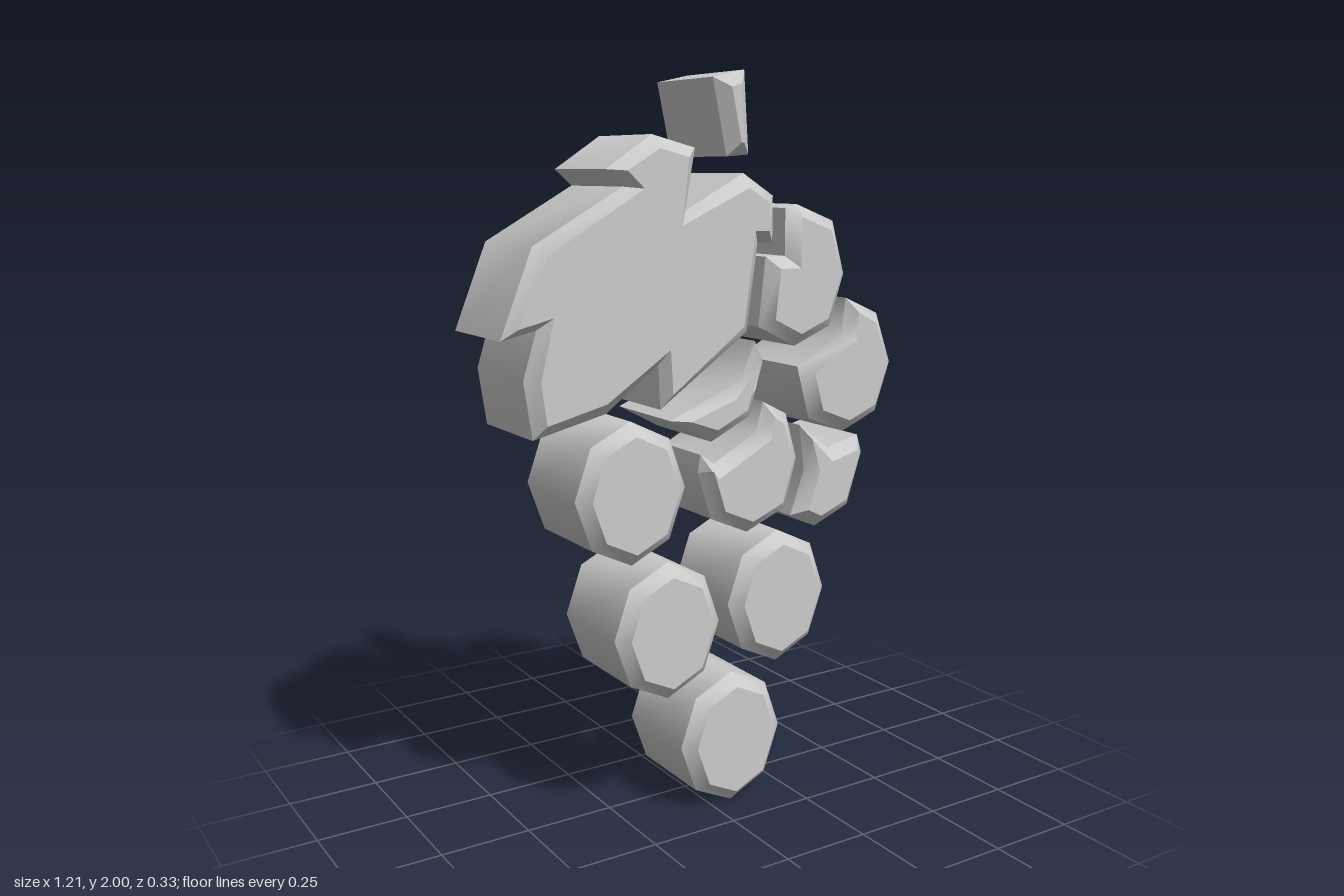
import * as THREE from 'three';
import { toCreasedNormals, mergeGeometries } from 'three/addons/utils/BufferGeometryUtils.js';

const BEVEL = 0.032;
const WALL = 0.27; // straight depth between the front and back bevels
const material = new THREE.MeshStandardMaterial({ color: 0xcccccc });

// Smooth caps, bevels and walls separately, so the edges between them stay sharp
function smoothByBand(geometry) {
  const source = geometry.getAttribute('position');
  const bands = [[], [], []];
  const tri = new THREE.Triangle();
  const normal = new THREE.Vector3();
  for (let i = 0; i < source.count; i += 3) {
    tri.setFromAttributeAndIndices(source, i, i + 1, i + 2);
    tri.getNormal(normal);
    const slope = Math.abs(normal.z);
    const band = slope > 0.95 ? 0 : slope > 0.1 ? 1 : 2;
    for (const v of [tri.a, tri.b, tri.c]) bands[band].push(v.x, v.y, v.z);
  }
  return mergeGeometries(bands.filter((b) => b.length).map((b) => {
    const part = new THREE.BufferGeometry();
    part.setAttribute('position', new THREE.Float32BufferAttribute(b, 3));
    return toCreasedNormals(part, 0.95);
  }));
}

// Bevelled slab whose widest outline passes through the given points
function slab(name, points) {
  const shape = new THREE.Shape(points.map(([x, y]) => new THREE.Vector2(x, y)));
  const geometry = new THREE.ExtrudeGeometry(shape, {
    depth: WALL, bevelEnabled: true, bevelSegments: 1,
    bevelThickness: BEVEL, bevelSize: BEVEL, bevelOffset: -BEVEL,
  });
  geometry.translate(0, 0, -WALL / 2);
  const mesh = new THREE.Mesh(smoothByBand(geometry), material);
  mesh.name = name;
  return mesh;
}

// Eight-sided oval outline of a whole grape
function oval(cx, cy) {
  return Array.from({ length: 8 }, (_, i) => {
    const a = (i * Math.PI) / 4;
    return [cx + 0.164 * Math.cos(a), cy + 0.191 * Math.sin(a)];
  });
}

export function createModel() {
  const group = new THREE.Group();
  group.name = 'grapeBunch';

  // Stem
  group.add(slab('stem', [[-0.003, 1.979], [0.093, 2.0], [0.108, 1.788], [0.04, 1.783]]));

  // Leaf with jagged lobes
  group.add(slab('leaf', [
    [-0.183, 1.836], [-0.056, 1.804], [-0.085, 1.648], [0.093, 1.741], [0.188, 1.683],
    [0.188, 1.561], [0.14, 1.561], [0.108, 1.328], [-0.161, 1.143], [-0.167, 1.26],
    [-0.32, 1.148], [-0.526, 1.1], [-0.548, 1.249], [-0.51, 1.37], [-0.606, 1.349],
    [-0.516, 1.571], [-0.267, 1.709], [-0.315, 1.751],
  ]));

  // Whole grapes
  const centres = [[0.066, 0.192], [0.217, 0.578], [-0.14, 0.54], [-0.25, 0.93]];
  centres.forEach(([x, y], i) => group.add(slab(`grape${i + 1}`, oval(x, y))));

  // Grapes cut away where the leaf or a neighbour overlaps them
  const cutGrapes = {
    upperCutGrape: [[0.23, 1.65], [0.267, 1.66], [0.389, 1.614], [0.431, 1.47], [0.384, 1.328],
      [0.267, 1.28], [0.146, 1.339], [0.167, 1.524], [0.23, 1.524]],
    outerCutGrape: [[0.442, 1.402], [0.553, 1.354], [0.606, 1.212], [0.558, 1.074],
      [0.442, 1.026], [0.32, 1.074], [0.278, 1.222], [0.43, 1.305]],
    sliverGrape: [[-0.13, 1.11], [-0.003, 1.042], [0.119, 1.1], [0.161, 1.243],
      [0.135, 1.302], [0.092, 1.2]],
    middleCutGrape: [[-0.046, 0.962], [-0.003, 0.83], [0.114, 0.778], [0.241, 0.83],
      [0.278, 0.968], [0.241, 1.095], [0.164, 1.135], [0.143, 1.055], [0.005, 0.982], [-0.037, 1.01]],
    sideCutGrape: [[0.288, 1.058], [0.39, 0.984], [0.495, 1.01], [0.511, 0.958],
      [0.463, 0.81], [0.347, 0.762], [0.262, 0.804], [0.307, 0.93]],
  };
  for (const [name, points] of Object.entries(cutGrapes)) group.add(slab(name, points));

  return group;
}
